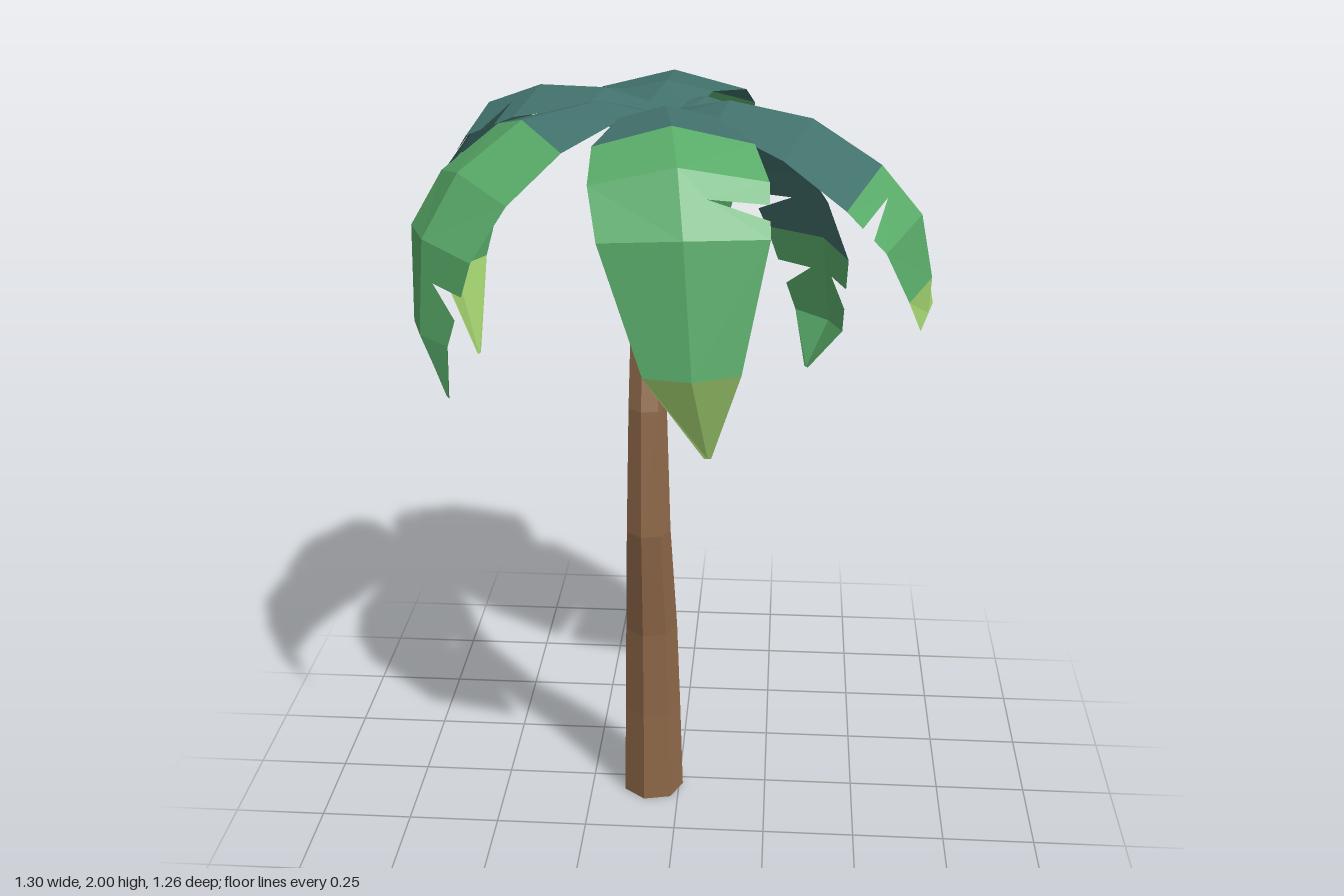
import * as THREE from 'three';

const leaf = (name, color) => {
  const m = new THREE.MeshStandardMaterial({ color, side: THREE.DoubleSide });
  m.name = name;
  return m;
};

// Leaning seven-sided trunk: a cylinder whose rings follow [y, z, radius]
function makeTrunk() {
  const rings = [
    [0, 0.032, 0.087], [0.28, 0.045, 0.08], [0.55, 0.07, 0.073],
    [0.88, 0.14, 0.06], [1.23, 0.138, 0.051], [1.55, 0.07, 0.045], [1.95, -0.06, 0.034],
  ];
  const n = rings.length - 1;
  const geo = new THREE.CylinderGeometry(1, 1, 1, 7, n, false, Math.PI / 2).toNonIndexed();
  const p = geo.attributes.position;
  for (let i = 0; i < p.count; i++) {
    const [y, z, r] = rings[Math.round((p.getY(i) + 0.5) * n)];
    p.setXYZ(i, p.getX(i) * r - 0.076, y, z + p.getZ(i) * r);
  }
  geo.computeVertexNormals();
  const bark = new THREE.MeshStandardMaterial({ color: 0x906a4a });
  bark.name = 'bark';
  const mesh = new THREE.Mesh(geo, bark);
  mesh.name = 'trunk';
  return mesh;
}

// Shared frond curve from crown to tip, as fractions of each frond's own size
const REACH = [-0.03, 0.25, 0.55, 0.8, 0.95, 1, 1];
const FALL = [0, 0.01, 0.05, 0.22, 0.45, 0.8, 1];
const WIDTH = [0.3, 0.56, 0.92, 1, 0.95, 0.55, 0.04];
const LAST = REACH.length - 1;
const TOP = 2;

// Each frond: angle from the front, reach, tip height, sag (lower droops sooner), left and right widths,
// tuck, slide and bluntness of the tip, rows where green and yellow begin, slit segments on each side
const FRONDS = [
  { name: 'frontFrond', angle: 0.14, reach: 0.67, tip: 1.25, sag: 1.65, left: 0.2, right: 0.21,
    tuck: 0.1, slide: 0.07, blunt: 0, green: 2, yellow: 5, slitL: [], slitR: [3] },
  { name: 'leftFrond', angle: 1.37, reach: 0.7, tip: 1.5, sag: 0.8, left: 0.29, right: 0.17,
    tuck: 0, slide: -0.05, blunt: 0.45, green: 3, yellow: 5, slitL: [3], slitR: [] },
  { name: 'backLeftFrond', angle: 2.18, reach: 0.54, tip: 1.18, sag: 0.75, left: 0.19, right: 0.22,
    tuck: 0.07, slide: 0, blunt: 0, green: 4, yellow: LAST, slitL: [4], slitR: [3, 4] },
  { name: 'backFrond', angle: 3.11, reach: 0.6, tip: 1.25, sag: 1.55, left: 0.21, right: 0.21,
    tuck: 0.05, slide: 0, blunt: 0, green: 3, yellow: LAST, slitL: [3], slitR: [2] },
  { name: 'backRightFrond', angle: -1.87, reach: 0.6, tip: 1.25, sag: 1.65, left: 0.24, right: 0.2,
    tuck: 0.07, slide: 0.03, blunt: 0, green: 4, yellow: 5, slitL: [], slitR: [2, 3, 4] },
  { name: 'frontRightFrond', angle: -1, reach: 0.69, tip: 1.37, sag: 1, left: 0.2, right: 0.2,
    tuck: 0.02, slide: 0.17, blunt: 0, green: 2, yellow: LAST, slitL: [], slitR: [4] },
];

// Folded leaf blade: two faceted strips beside a midrib, with slits cut in from the edge
function makeFrond(f, materials) {
  const dir = new THREE.Vector3(Math.sin(f.angle), 0, Math.cos(f.angle));
  const side = new THREE.Vector3(Math.cos(f.angle), 0, -Math.sin(f.angle));
  const crown = new THREE.Vector3(-0.05, 0, -0.04);
  const spine = REACH.map((r, i) => ({
    r: r * f.reach - (i === LAST ? f.tuck : 0),
    y: i === 0 ? 1.94 : TOP - (TOP - f.tip) * FALL[i] ** f.sag,
  }));
  const sections = spine.map(({ r, y }, i) => {
    const t = i / LAST;
    const a = spine[Math.max(i - 1, 0)], b = spine[Math.min(i + 1, LAST)];
    const mid = crown.clone().addScaledVector(dir, r).addScaledVector(side, f.slide * t ** 6).setY(y);
    const inward = dir.clone().multiplyScalar(b.y - a.y).setY(a.r - b.r).normalize();
    const cup = 0.055 * Math.sin(Math.PI * t);
    const w = WIDTH[i] + f.blunt * t ** 6;
    const edge = (half) => mid.clone().addScaledVector(side, half * w).addScaledVector(inward, cup);
    return { mid, left: edge(-f.left), right: edge(f.right) };
  });

  const pts = [];
  const geo = new THREE.BufferGeometry();
  for (let i = 0; i < LAST; i++) {
    const start = pts.length;
    for (const key of ['left', 'right']) {
      const add = (a, b, c) => (key === 'right' ? pts.push(a, b, c) : pts.push(a, c, b));
      const m0 = sections[i].mid, m1 = sections[i + 1].mid;
      const e0 = sections[i][key], e1 = sections[i + 1][key];
      if ((key === 'left' ? f.slitL : f.slitR).includes(i)) {
        const cut0 = e0.clone().lerp(e1, 0.4), cut1 = e0.clone().lerp(e1, 0.68);
        const apex = m0.clone().lerp(m1, 0.4).lerp(cut0, 0.3);
        const loop = [cut0, e0, m0, m1, e1, cut1];
        for (let k = 0; k < 5; k++) add(apex, loop[k + 1], loop[k]);
      } else {
        add(m0, e0, m1);
        add(m1, e0, e1);
      }
    }
    geo.addGroup(start, pts.length - start, i >= f.yellow ? 2 : i >= f.green ? 1 : 0);
  }
  geo.setFromPoints(pts);
  geo.computeVertexNormals();
  const mesh = new THREE.Mesh(geo, materials);
  mesh.name = f.name;
  return mesh;
}

export function createModel() {
  const model = new THREE.Group();
  model.name = 'palmTree';
  const materials = [leaf('deepTeal', 0x42716c), leaf('leafGreen', 0x59ab69), leaf('tipYellowGreen', 0xa0cf6e)];
  model.add(makeTrunk());
  for (const f of FRONDS) model.add(makeFrond(f, materials));
  return model;
}
